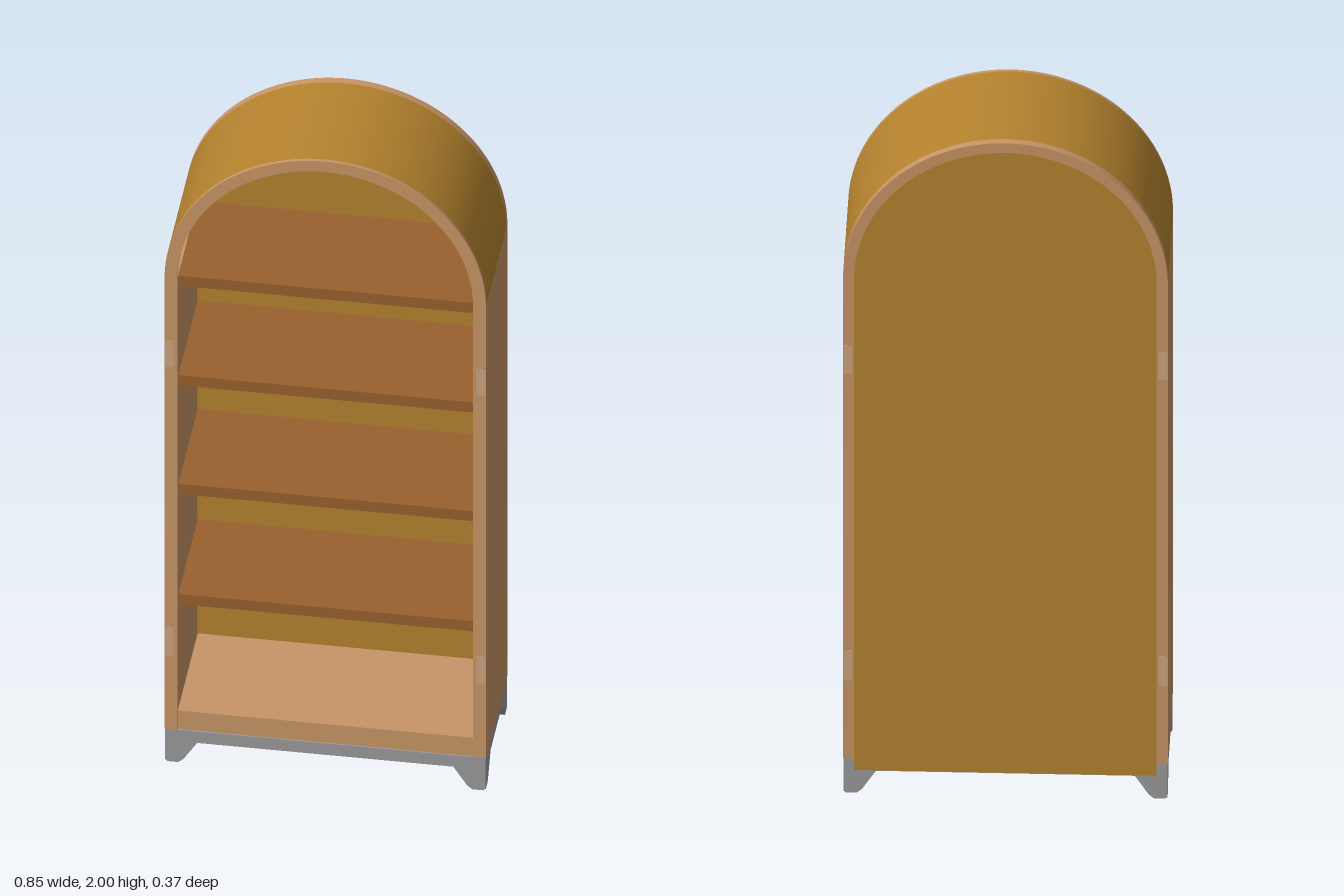
import * as THREE from 'three';
import { toCreasedNormals } from 'three/addons/utils/BufferGeometryUtils.js';

const mat = (name, color, side = THREE.FrontSide) => {
  const m = new THREE.MeshStandardMaterial({ color, side });
  m.name = name;
  return m;
};

export function createModel() {
  const model = new THREE.Group();
  model.name = 'archedBookcase';

  const tan = mat('tanWood', 0xc89566);
  const ochre = mat('ochreWood', 0xb5832e);
  const brown = mat('brownShelfWood', 0x99602e);
  const pale = mat('paleWood', 0xcbac82);
  const patch = mat('paleInlay', 0xcda580);
  const grey = mat('greyBase', 0x9b9b9b);
  const blue = mat('blueLiner', 0x14b4ec, THREE.DoubleSide);

  const R = 0.424, IN = 0.39, SPRING = 1.576, BOTTOM = 0.105;
  const BACK = -0.185, FRONT = 0.182;

  const add = (name, geo, material) => {
    const mesh = new THREE.Mesh(geo, material);
    mesh.name = name;
    model.add(mesh);
    return mesh;
  };
  // box given by its limits
  const box = (name, x0, x1, y0, y1, z0, z1, material) => {
    const b = add(name, new THREE.BoxGeometry(x1 - x0, y1 - y0, z1 - z0), material);
    b.position.set((x0 + x1) / 2, (y0 + y1) / 2, (z0 + z1) / 2);
    return b;
  };
  const extrude = (shape, z0, z1) => {
    const g = new THREE.ExtrudeGeometry(shape, { depth: z1 - z0, bevelEnabled: false, curveSegments: 64 });
    g.translate(0, 0, z0);
    return toCreasedNormals(g, 0.5);
  };
  // half ring that sits on the side panels
  const halfRing = (inner, z0, z1) => {
    const s = new THREE.Shape();
    s.moveTo(R, SPRING);
    s.absarc(0, SPRING, R, 0, Math.PI, false);
    s.lineTo(-inner, SPRING);
    s.absarc(0, SPRING, inner, Math.PI, 0, true);
    return extrude(s, z0, z1);
  };

  // curved top: thin ochre skin between two tan rims
  add('archSkin', halfRing(0.408, -0.164, 0.172), ochre);
  add('archFrontRim', halfRing(IN, 0.172, FRONT), tan);
  add('archBackRim', halfRing(IN, BACK, -0.164), tan);

  // blue liner strips inside the arch
  for (const a of [20, 142]) {
    const rad = Math.PI / 180;
    const g = new THREE.CylinderGeometry(0.406, 0.406, 0.33, 8, 1, true, (a + 90) * rad, 18 * rad);
    g.rotateX(Math.PI / 2);
    add('archLiner', g, blue).position.set(0, SPRING, 0.004);
  }

  // side panels with pale inlays on their edges
  for (const s of [-1, 1]) {
    const lo = s < 0 ? -R : IN, hi = s < 0 ? -IN : R;
    box('sidePanel', lo, hi, BOTTOM, SPRING, BACK, FRONT, tan);
    for (const [y0, y1] of [[0.345, 0.435], [1.285, 1.37]]) {
      const p0 = s < 0 ? -0.423 : 0.4, p1 = s < 0 ? -0.4 : 0.423;
      box('frontInlay', p0, p1, y0, y1, FRONT - 0.002, FRONT + 0.001, patch);
      box('backInlay', p0, p1, y0, y1, BACK - 0.001, BACK + 0.002, patch);
    }
  }

  // back panel with rounded top
  const panel = new THREE.Shape();
  panel.moveTo(-0.395, 0.07);
  panel.lineTo(0.395, 0.07);
  panel.lineTo(0.395, SPRING);
  panel.absarc(0, SPRING, 0.395, 0, Math.PI, false);
  panel.closePath();
  add('backPanel', extrude(panel, -0.1862, -0.162), ochre);

  // bottom board
  box('bottomBoard', -IN, IN, BOTTOM, 0.165, -0.162, 0.178, tan);

  // shelves with a pale support cleat at the back
  for (const top of [0.537, 0.896, 1.25, 1.574]) {
    box('shelf', -IN, IN, top - 0.033, top, -0.162, 0.168, brown);
    box('shelfCleat', -IN, IN, top - 0.066, top - 0.033, -0.162, -0.14, pale);
  }

  // base frame: four notched aprons forming tapered corner legs
  const apron = (half, foot, knee) => {
    const s = new THREE.Shape();
    s.moveTo(-half, BOTTOM);
    s.lineTo(-half, 0.006);
    s.lineTo(-half + 0.006, 0);
    for (const k of [-1, 1]) {
      const pts = [[foot, 0], [foot - 0.014, 0.012], [knee, 0.068]];
      if (k > 0) pts.reverse();
      pts.forEach(([x, y]) => s.lineTo(k * x, y));
    }
    s.lineTo(half - 0.006, 0);
    s.lineTo(half, 0.006);
    s.lineTo(half, BOTTOM);
    s.closePath();
    return s;
  };
  const T = 0.03;
  const long = apron(0.423, 0.388, 0.338);
  add('frontApron', extrude(long, FRONT - T, FRONT), grey);
  add('backApron', extrude(long, BACK, BACK + T), grey);
  const short = apron(0.183, 0.15, 0.095);
  for (const s of [-1, 1]) {
    const g = extrude(short, -T / 2, T / 2);
    g.rotateY(Math.PI / 2);
    add('sideApron', g, grey).position.set(s * (0.423 - T / 2), 0, -0.0015);
    for (const z of [FRONT - T - 0.012, BACK + T + 0.012]) {
      const x = s * 0.381;
      box('legCore', x - 0.014, x + 0.014, 0.014, BOTTOM, z - 0.014, z + 0.014, grey);
    }
  }

  // batten under the bottom board with a blue rear face
  box('underBatten', -0.29, 0.32, 0.085, BOTTOM, 0.1, 0.11, tan);
  box('underLiner', -0.29, 0.32, 0.086, BOTTOM, 0.096, 0.1, blue);

  return model;
}
